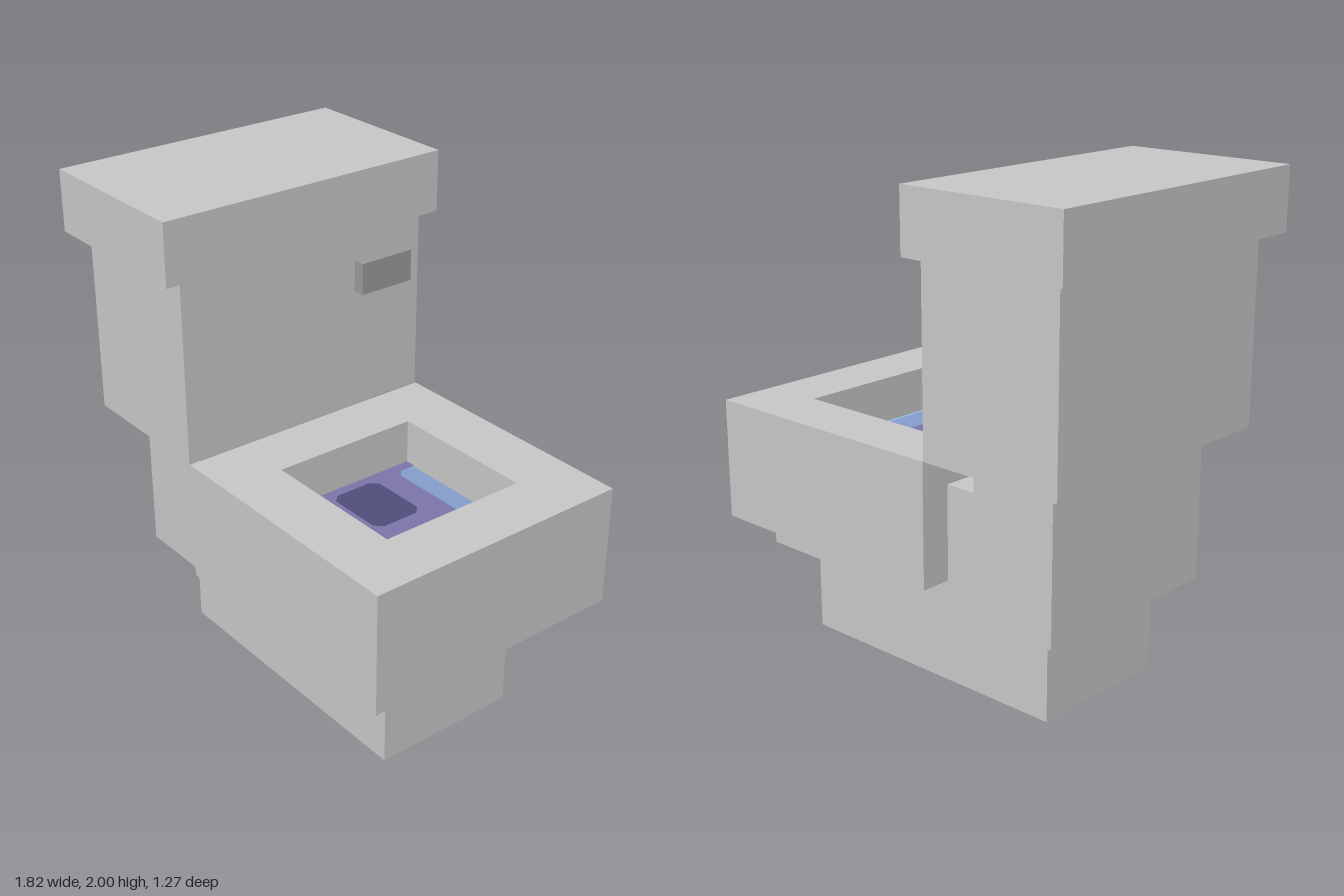
import * as THREE from 'three';

export function createModel() {
  const model = new THREE.Group();
  model.name = 'toilet';

  const material = (name, color) => {
    const m = new THREE.MeshStandardMaterial({ color });
    m.name = name;
    return m;
  };
  const porcelain = material('porcelain', 0xc6c6c6);
  const metal = material('handleGrey', 0x989898);
  const waterBlue = material('waterBlue', 0x839cca);
  const waterLight = material('waterLight', 0xa3b8e4);
  const waterPurple = material('waterPurple', 0x7a75a8);
  const waterDark = material('waterDark', 0x4f4d78);

  const add = (name, geometry, mat) => {
    const mesh = new THREE.Mesh(geometry, mat);
    mesh.name = name;
    model.add(mesh);
    return mesh;
  };
  // Box given by its limits on each axis
  const block = (name, mat, [x0, x1], [y0, y1], [z0, z1]) =>
    add(name, new THREE.BoxGeometry(x1 - x0, y1 - y0, z1 - z0), mat)
      .position.set((x0 + x1) / 2, (y0 + y1) / 2, (z0 + z1) / 2);
  const outline = (points) => new THREE.Shape(points.map(([x, y]) => new THREE.Vector2(x, y)));
  const rect = (x0, x1, h) => [[x0, -h], [x1, -h], [x1, h], [x0, h]];

  block('base', porcelain, [-0.59, 0.66], [0, 0.38], [-0.31, 0.31]);
  block('tank', porcelain, [-0.84, -0.215], [1, 1.75], [-0.565, 0.565]);
  block('tankLid', porcelain, [-0.91, -0.19], [1.75, 2], [-0.637, 0.637]);
  block('flushHandle', metal, [-0.215, -0.165], [1.5, 1.63], [-0.485, -0.24]);

  // Plinth and rear support, with the notch behind the bowl
  const support = outline([
    [-0.715, 0.38], [0.785, 0.38], [0.785, 0.5], [-0.21, 0.5],
    [-0.21, 0.88], [-0.34, 0.88], [-0.34, 1], [-0.715, 1],
  ]);
  add('support', new THREE.ExtrudeGeometry(support, { depth: 0.876, bevelEnabled: false }), porcelain)
    .position.z = -0.438;

  // Bowl with a square opening
  const bowl = outline(rect(-0.21, 0.91, 0.565));
  bowl.holes.push(outline(rect(0.035, 0.66, 0.315)));
  add('bowl', new THREE.ExtrudeGeometry(bowl, { depth: 0.5, bevelEnabled: false }).rotateX(-Math.PI / 2), porcelain)
    .position.y = 0.5;

  // Water surface: flat coloured layers, each just above the last
  const half = [[0.035, 0.315], [0.08, 0.315], [0.08, 0.245], [0.11, 0.22], [0.485, 0.22], [0.505, 0.2]];
  const shallow = [...half, ...half.map(([x, y]) => [x, -y]).reverse()];
  const deep = [
    [0.11, -0.11], [0.335, -0.11], [0.365, -0.08], [0.365, 0.08],
    [0.335, 0.11], [0.11, 0.11], [0.08, 0.08], [0.08, -0.08],
  ];
  [
    ['water', rect(0.035, 0.66, 0.315), waterBlue],
    ['waterEdge', rect(0.643, 0.655, 0.315), waterLight],
    ['waterShade', shallow, waterPurple],
    ['waterDrain', deep, waterDark],
  ].forEach(([name, points, mat], i) => {
    add(name, new THREE.ShapeGeometry(outline(points)).rotateX(-Math.PI / 2), mat)
      .position.y = 0.81 + i * 0.003;
  });

  return model;
}
